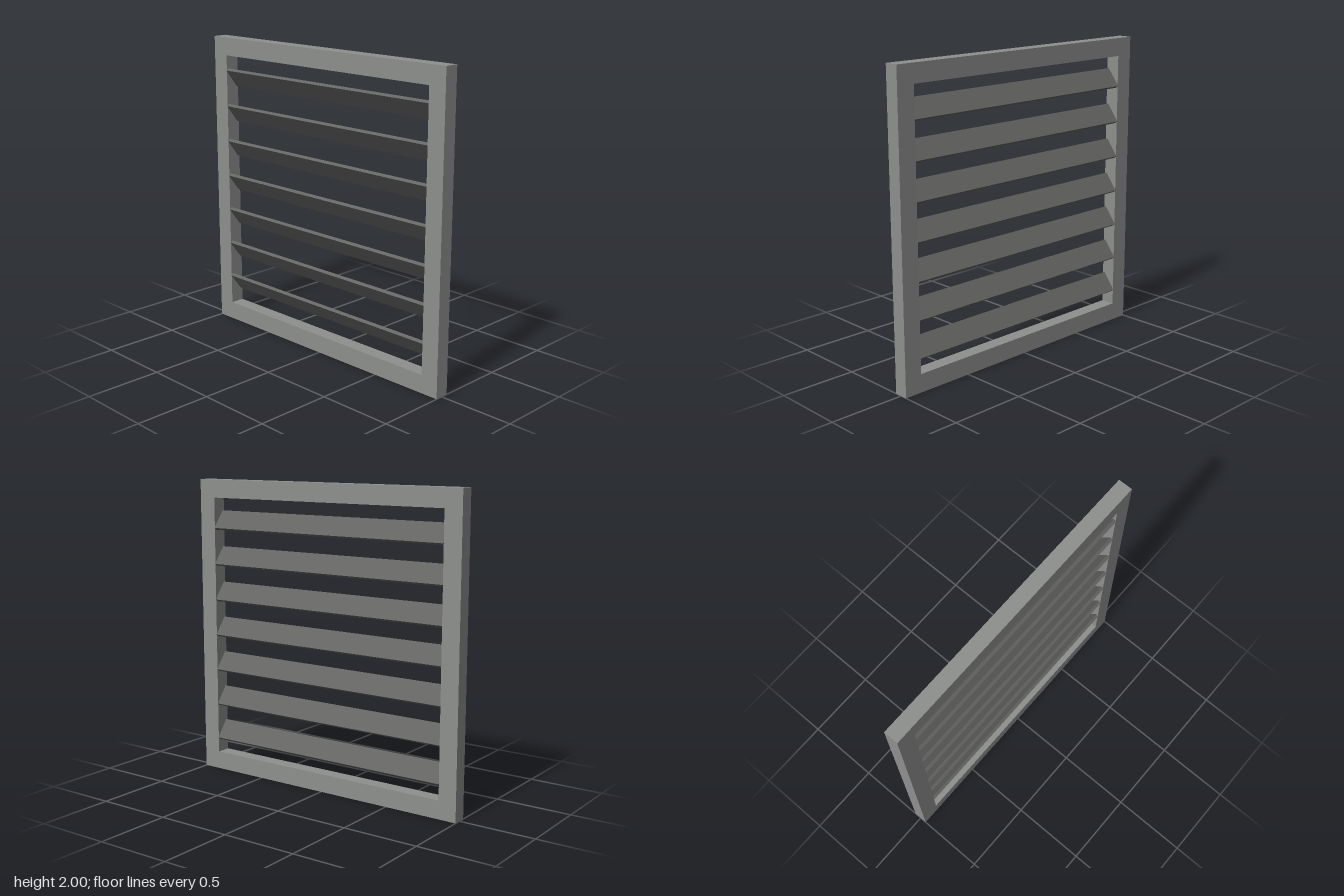
import * as THREE from 'three';

export function createModel() {
  const group = new THREE.Group();
  const frameGrey = new THREE.MeshStandardMaterial({ color: 0x8e908e });
  frameGrey.name = 'frameGrey';
  const slatGrey = new THREE.MeshStandardMaterial({ color: 0x646663 });
  slatGrey.name = 'slatGrey';

  // Square frame with a square opening
  const inner = 0.88, depth = 0.095;
  const square = (path, r) =>
    path.moveTo(-r, -r).lineTo(r, -r).lineTo(r, r).lineTo(-r, r).closePath();
  const outline = square(new THREE.Shape(), 1);
  outline.holes.push(square(new THREE.Path(), inner));
  const frameGeometry = new THREE.ExtrudeGeometry(outline, { depth, bevelEnabled: false });
  frameGeometry.translate(0, 1, -depth / 2);
  const frame = new THREE.Mesh(frameGeometry, frameGrey);
  frame.name = 'frame';
  group.add(frame);

  // Seven tilted slats, front edge high and back edge low
  const slats = new THREE.Group();
  slats.name = 'slats';
  const slatGeometry = new THREE.BoxGeometry(inner * 2, 0.022, 0.142);
  for (let i = 0; i < 7; i++) {
    const slat = new THREE.Mesh(slatGeometry, slatGrey);
    slat.name = `slat${i + 1}`;
    slat.position.y = 0.273 + i * 0.2425;
    slat.rotation.x = -THREE.MathUtils.degToRad(53);
    slats.add(slat);
  }
  group.add(slats);

  return group;
}
